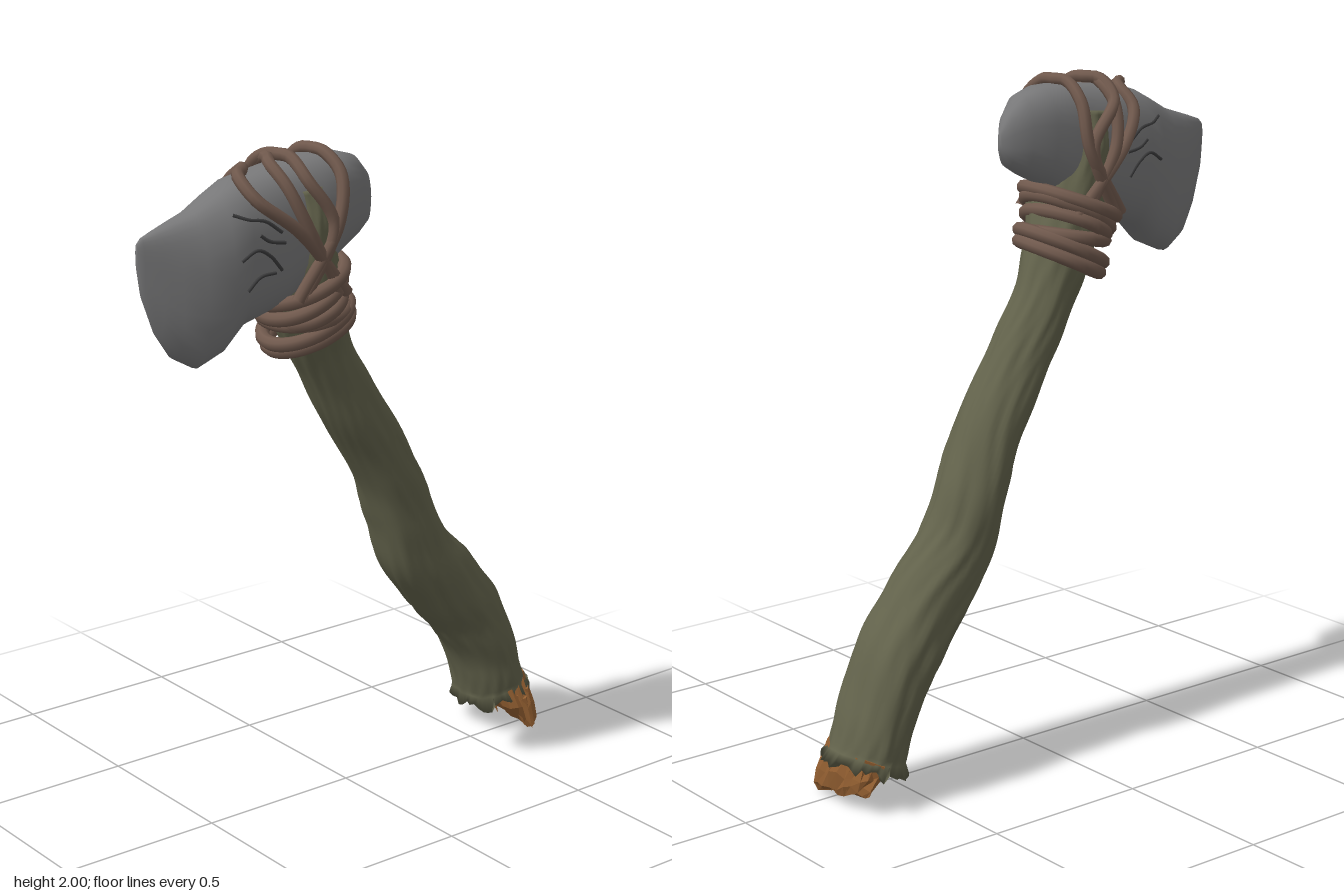
import * as THREE from 'three';

const mat = (name, color, extra = {}) => Object.assign(new THREE.MeshStandardMaterial({ color, ...extra }), { name });
const V = (x, y, z) => new THREE.Vector3(x, y, z);

// Small seeded random generator
function seeded(seed) {
  return () => {
    seed = (seed * 16807) % 2147483647;
    return seed / 2147483647;
  };
}

// Skin a list of equal-length rings, each counterclockwise about the loft direction, and cap both ends
function loft(rings) {
  const n = rings[0].length, pos = [], index = [];
  const mean = r => r.reduce((s, p) => s.add(p), V(0, 0, 0)).divideScalar(n);
  rings.forEach(r => r.forEach(p => pos.push(p.x, p.y, p.z)));
  const last = (rings.length - 1) * n, c0 = rings.length * n, c1 = c0 + 1;
  [mean(rings[0]), mean(rings[rings.length - 1])].forEach(p => pos.push(p.x, p.y, p.z));
  for (let j = 0; j < n; j++) {
    const k = (j + 1) % n;
    for (let i = 0; i < last; i += n) {
      index.push(i + j, i + k, i + n + k, i + j, i + n + k, i + n + j);
    }
    index.push(c0, k, j, c1, last + j, last + k);
  }
  const g = new THREE.BufferGeometry();
  g.setAttribute('position', new THREE.Float32BufferAttribute(pos, 3));
  g.setIndex(index);
  g.computeVertexNormals();
  return g;
}

// Stone stations: x, top, bottom, half thickness, centre z
const STONE = [
  [-0.76, 1.805, 1.73, 0.006, 0.075], [-0.745, 1.82, 1.65, 0.018, 0.075], [-0.7, 1.835, 1.54, 0.042, 0.073],
  [-0.65, 1.85, 1.47, 0.066, 0.07], [-0.585, 1.87, 1.433, 0.09, 0.068], [-0.51, 1.91, 1.465, 0.107, 0.066],
  [-0.45, 1.94, 1.53, 0.115, 0.065], [-0.33, 1.962, 1.565, 0.12, 0.065], [-0.2, 1.978, 1.63, 0.115, 0.065],
  [-0.1, 1.975, 1.69, 0.098, 0.062], [-0.03, 1.955, 1.722, 0.068, 0.057], [0.02, 1.905, 1.75, 0.038, 0.052],
  [0.045, 1.855, 1.79, 0.01, 0.05],
];
const POWER = 2.5;

function stoneGeometry() {
  const n = 32;
  return loft(STONE.map(([x, top, bottom, w, zc]) => Array.from({ length: n }, (_, j) => {
    const a = j / n * Math.PI * 2, c = Math.cos(a), s = Math.sin(a), e = 2 / POWER;
    const dent = 1 + 0.03 * Math.sin(x * 17 + 3 * a);
    return V(x, (top + bottom) / 2 + (top - bottom) / 2 * Math.sign(c) * Math.abs(c) ** e,
      zc + w * dent * Math.sign(s) * Math.abs(s) ** e);
  })));
}

// Point on the stone's front (side 1) or back (side -1)
function onStone(x, y, side) {
  const i = STONE.findIndex(s => s[0] > x);
  const f = (x - STONE[i - 1][0]) / (STONE[i][0] - STONE[i - 1][0]);
  const [, top, bottom, w, zc] = STONE[i].map((v, k) => THREE.MathUtils.lerp(STONE[i - 1][k], v, f));
  const u = Math.abs((y - (top + bottom) / 2) / ((top - bottom) / 2));
  return V(x, y, zc + side * w * (1 - u ** POWER) ** (1 / POWER));
}

// Handle stations: x, y, z, half width, half depth
const HANDLE = [
  [0.645, 0.135, -0.08, 0.105, 0.125], [0.6, 0.27, -0.075, 0.1, 0.13], [0.52, 0.42, -0.07, 0.112, 0.13],
  [0.405, 0.55, -0.05, 0.12, 0.12], [0.285, 0.69, -0.035, 0.112, 0.11], [0.22, 0.84, -0.03, 0.1, 0.11],
  [0.145, 1.0, -0.015, 0.092, 0.105], [0.02, 1.19, 0.003, 0.092, 0.097], [-0.085, 1.36, 0.015, 0.088, 0.09],
  [-0.155, 1.5, 0.035, 0.1, 0.108], [-0.21, 1.65, 0.06, 0.1, 0.132], [-0.235, 1.8, 0.065, 0.075, 0.137],
  [-0.245, 1.9, 0.065, 0.065, 0.118],
];

function barkGeometry() {
  const path = new THREE.CatmullRomCurve3(HANDLE.map(h => V(h[0], h[1], h[2])));
  const size = new THREE.CatmullRomCurve3(HANDLE.map(h => V(h[3], h[4], 0)));
  const rings = [], steps = 110, n = 56, rand = seeded(7);
  for (let i = 0; i <= steps; i++) {
    const t = i / steps, c = path.getPoint(t), r = size.getPoint(t), d = path.getTangent(t);
    const across = V(d.y, -d.x, 0).normalize();
    rings.push(Array.from({ length: n }, (_, j) => {
      const a = j / n * Math.PI * 2;
      // Long wandering bark ridges
      let k = 1 + 0.022 * Math.sin(5 * a + 2 * Math.sin(t * 9)) + 0.02 * Math.sin(11 * a + 3 * Math.sin(t * 13))
        + 0.012 * Math.sin(17 * a - 4 * Math.sin(t * 21)) + 0.012 * Math.sin(t * 70 + 2 * a);
      const p = c.clone();
      // Torn lower rim
      if (i === 0) {
        k += 0.05 + 0.1 * rand();
        p.addScaledVector(d, -0.035 * rand());
      }
      return p.addScaledVector(across, r.x * k * Math.sin(a)).add(V(0, 0, r.y * k * Math.cos(a)));
    }));
  }
  return loft(rings);
}

// Splintered wood below the bark: x, y, z, half width, half depth, slope of y over z
function brokenWoodGeometry() {
  const rand = seeded(23), n = 26;
  const rows = [
    [0.7, 0.045, -0.045, 0.028, 0.125, -0.2], [0.692, 0.065, -0.048, 0.045, 0.138, -0.2],
    [0.675, 0.105, -0.06, 0.068, 0.135, -0.1], [0.645, 0.18, -0.078, 0.088, 0.112, 0],
  ];
  return loft(rows.map(([x, y, z, rx, rz, slope]) => Array.from({ length: n }, (_, j) => {
    const a = j / n * Math.PI * 2, k = 0.9 + 0.2 * rand();
    const dz = rz * k * Math.cos(a);
    return V(x + rx * k * Math.sin(a), Math.max(0.005, y + slope * dz + 0.025 * (rand() - 0.5)), z + dz);
  })));
}

export function createModel() {
  const stone = mat('grey stone', 0x777778);
  const crackGrey = mat('dark crack', 0x3c3c3d);
  const bark = mat('olive bark', 0x62624b);
  const wood = mat('raw wood', 0x935f31, { flatShading: true });
  const rope = mat('brown cord', 0x70594d);

  const model = new THREE.Group();
  model.name = 'stoneAxe';
  const add = (name, geometry, material, parent = model) => {
    const mesh = new THREE.Mesh(geometry, material);
    mesh.name = name;
    parent.add(mesh);
    return mesh;
  };
  const group = name => {
    const g = new THREE.Group();
    g.name = name;
    model.add(g);
    return g;
  };
  const tube = (points, radius, closed = false) =>
    new THREE.TubeGeometry(new THREE.CatmullRomCurve3(points, closed), 60, radius, 8, closed);

  add('stoneHead', stoneGeometry(), stone);
  add('barkHandle', barkGeometry(), bark);
  add('brokenWoodEnd', brokenWoodGeometry(), wood);

  // Splinters around the broken end
  const splinters = group('splinters'), rand = seeded(91);
  for (let i = 0; i < 12; i++) {
    const a = i / 12 * Math.PI * 2, z = -0.055 + 0.12 * Math.cos(a);
    const cone = add('splinter', new THREE.ConeGeometry(0.022, 0.11, 4), wood, splinters);
    cone.position.set(0.682 + 0.042 * Math.sin(a), 0.085 - 0.17 * (z + 0.055) + 0.02 * rand(), z);
    cone.rotation.set(-0.25, 0, Math.PI + 0.25);
  }

  // Cracks in both faces of the stone
  const cracks = group('cracks');
  const lines = [
    [[-0.5, 1.86], [-0.46, 1.845], [-0.41, 1.835], [-0.36, 1.8]],
    [[-0.49, 1.735], [-0.44, 1.76], [-0.4, 1.74], [-0.36, 1.695]],
    [[-0.47, 1.65], [-0.43, 1.685], [-0.38, 1.69]],
    [[-0.43, 1.8], [-0.4, 1.78], [-0.35, 1.77]],
  ];
  lines.forEach((line, i) => [1, -1].forEach(side => {
    if (side < 0 && i === 2) return;
    add('crack', tube(line.map(([x, y]) => onStone(x, y, side)), 0.005), crackGrey, cracks);
  }));

  // Cord wound round the handle under the head
  const binding = group('handleBinding');
  for (let i = 0; i < 6; i++) {
    const f = i / 5, tilt = 0.42 + 0.13 * Math.sin(i * 2.3), points = [];
    const rx = 0.122 + 0.012 * Math.sin(i * 1.7), rz = 0.128 + 0.016 * f + 0.006 * Math.sin(i * 2.9);
    for (let j = 0; j < 14; j++) {
      const a = j / 14 * Math.PI * 2, s = rx * Math.sin(a);
      points.push(V(-0.165 - 0.055 * f + s * Math.cos(tilt),
        1.47 + 0.155 * f + s * Math.sin(tilt) + 0.012 * Math.cos(a + i), 0.037 + 0.018 * f + rz * Math.cos(a)));
    }
    add('bindingLoop', tube(points, 0.021, true), rope, binding);
  }

  // Cord crossing over the head: top x, middle x, bottom x, top y, back shift
  const lashing = group('headLashing');
  [
    [-0.44, -0.32, -0.14, 1.953, 0.06], [-0.335, -0.285, -0.17, 1.975, 0.03],
    [-0.265, -0.2, -0.29, 1.983, -0.04], [-0.15, -0.185, -0.31, 1.985, -0.03],
  ].forEach(([top, mid, low, y, shift]) => add('lashingCord', tube([
    V(low, 1.6, 0.185), V(mid, 1.8, 0.205), V(top, y - 0.055, 0.172), V(top - 0.01, y, 0.105),
    V(top + shift / 2, y + 0.003, 0.065), V(top + shift, y, 0.025), V(top + shift, y - 0.055, -0.042),
    V(mid, 1.8, -0.077), V(low, 1.6, -0.07),
  ], 0.018), rope, lashing));

  return model;
}
